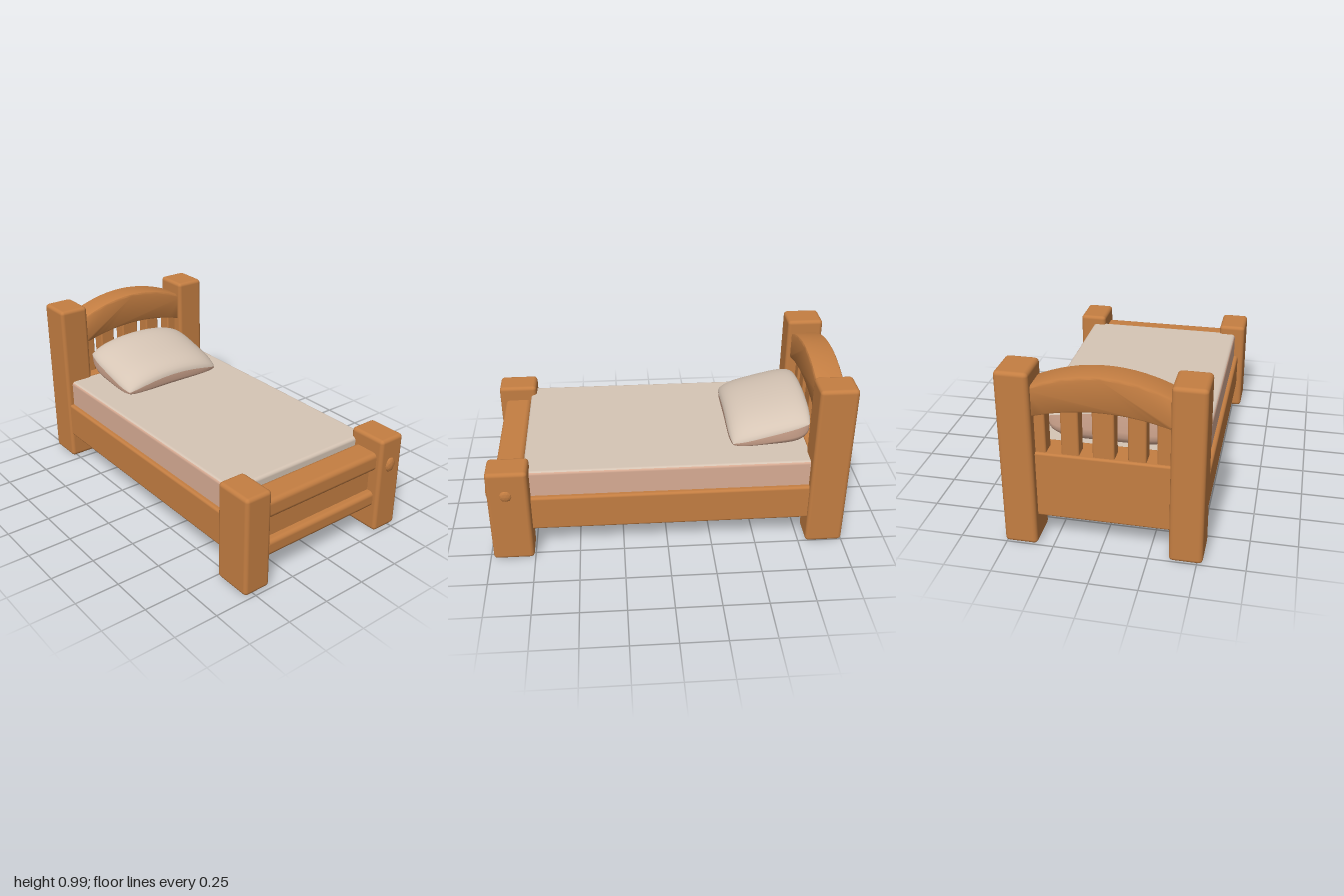
import * as THREE from 'three';
import { RoundedBoxGeometry } from 'three/addons/geometries/RoundedBoxGeometry.js';
import { toCreasedNormals } from 'three/addons/utils/BufferGeometryUtils.js';

export function createModel() {
  const bed = new THREE.Group();
  bed.name = 'bed';
  const material = (name, color) => {
    const m = new THREE.MeshStandardMaterial({ color });
    m.name = name;
    return m;
  };
  const wood = material('wood', 0xc47e42);
  const linen = material('linen', 0xd6c5b5);
  const blush = material('blushLinen', 0xd9ad95);

  const add = (name, geometry, mat, x = 0, y = 0, z = 0) => {
    const mesh = new THREE.Mesh(geometry, mat);
    mesh.name = name;
    mesh.position.set(x, y, z);
    bed.add(mesh);
    return mesh;
  };
  // Soft-edged block given by its limits on each axis
  const block = (name, [x0, x1], [y0, y1], [z0, z1], r = 0.015, mat = wood) =>
    add(name, new RoundedBoxGeometry(x1 - x0, y1 - y0, z1 - z0, 2, r), mat,
      (x0 + x1) / 2, (y0 + y1) / 2, (z0 + z1) / 2);

  // Corner posts
  block('headPostRight', [-0.53, -0.355], [0, 0.985], [-1, -0.79], 0.022);
  block('headPostLeft', [0.335, 0.51], [0, 0.985], [-1, -0.79], 0.022);
  block('footPostRight', [-0.555, -0.393], [0, 0.573], [0.755, 0.982], 0.022);
  block('footPostLeft', [0.38, 0.545], [0, 0.573], [0.755, 0.982], 0.022);

  // Knots in the wood of one foot post
  const knot = (x, y, z, sx, sy, sz) =>
    add('woodKnot', toCreasedNormals(new THREE.IcosahedronGeometry(1, 1), 0.5), wood, x, y, z).scale.set(sx, sy, sz);
  knot(0.542, 0.43, 0.88, 0.014, 0.035, 0.035);
  knot(0.458, 0.41, 0.98, 0.035, 0.045, 0.018);

  // Bed base with its side rails
  block('base', [-0.49, 0.46], [0.155, 0.34], [-0.85, 0.86], 0.01);
  block('sideRailRight', [-0.52, -0.44], [0.155, 0.367], [-0.85, 0.82], 0.015);
  block('sideRailLeft', [0.41, 0.487], [0.155, 0.367], [-0.85, 0.82], 0.015);

  // Footboard
  block('footPanel', [-0.42, 0.41], [0.17, 0.46], [0.8, 0.905], 0.008);
  block('footTopRail', [-0.42, 0.41], [0.378, 0.487], [0.79, 0.95], 0.028);
  block('footBottomRail', [-0.42, 0.41], [0.152, 0.243], [0.79, 0.95], 0.025);

  // Headboard panel and slats
  block('headPanel', [-0.39, 0.37], [0.155, 0.53], [-0.955, -0.8], 0.012);
  for (const [x0, x1] of [[-0.36, -0.282], [-0.23, -0.137], [-0.07, 0.042], [0.11, 0.202], [0.28, 0.345]]) {
    block('headSlat', [x0, x1], [0.5, 0.85], [-0.94, -0.855], 0.01);
  }

  // Arched top rail
  const arch = new THREE.Shape();
  arch.moveTo(-0.37, 0.745);
  arch.quadraticCurveTo(0, 0.865, 0.37, 0.745);
  arch.lineTo(0.37, 0.885);
  arch.quadraticCurveTo(0, 1.063, -0.37, 0.885);
  const archGeometry = new THREE.ExtrudeGeometry(arch, {
    depth: 0.12, bevelEnabled: true, bevelThickness: 0.018, bevelSize: 0.012, bevelSegments: 2, curveSegments: 16,
  });
  add('headArch', toCreasedNormals(archGeometry, 0.7), wood, -0.01, 0, -0.953);

  // Mattress: blush long sides, linen elsewhere
  block('mattress', [-0.495, 0.46], [0.31, 0.52], [-0.83, 0.79], 0.02,
    [blush, blush, linen, linen, linen, linen]);

  // Pillow: two domed halves meeting at a tilted, arched seam
  const pillowHalf = (isTop) => {
    const g = new THREE.PlaneGeometry(2, 2, 24, 20);
    g.rotateX(isTop ? -Math.PI / 2 : Math.PI / 2);
    const p = g.attributes.position;
    for (let i = 0; i < p.count; i++) {
      const u = Math.sin(p.getX(i) * Math.PI / 2);
      const v = Math.sin(p.getZ(i) * Math.PI / 2);
      const dome = Math.sqrt(Math.max(0, (1 - u ** 4) * (1 - v ** 4)));
      const seam = 0.61 - 0.055 * v + 0.045 * (1 - u * u);
      const y = isTop ? seam + 0.06 * dome : seam + (0.512 - seam) * Math.sqrt(dome);
      // Corners are drawn in a little
      p.setXYZ(i, 0.34 * u * (1 - 0.06 * v ** 4), y, -0.59 + 0.23 * v * (1 - 0.08 * u ** 6));
    }
    g.computeVertexNormals();
    return g;
  };
  add('pillowTop', pillowHalf(true), linen, -0.015);
  add('pillowUnderside', pillowHalf(false), blush, -0.015);

  return bed;
}
